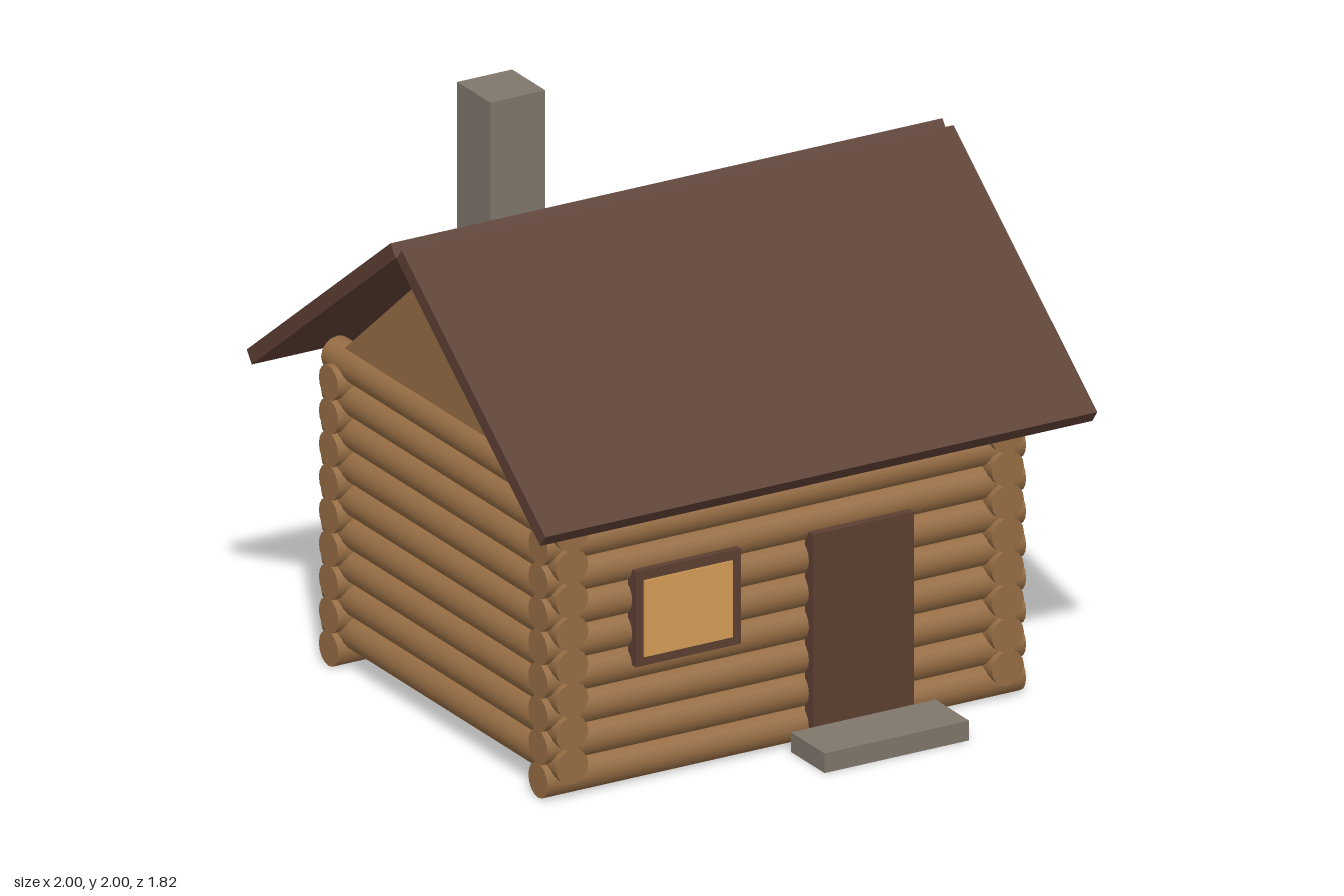
import * as THREE from 'three';

export function createModel() {
  const cabin = new THREE.Group();
  cabin.name = 'logCabin';

  const mat = (name, color) => {
    const m = new THREE.MeshStandardMaterial({ color });
    m.name = name;
    return m;
  };
  const logWood = mat('logWood', 0x966d44);
  const darkWood = mat('darkWood', 0x5c3f32);
  const stone = mat('stone', 0x7f766b);
  const glow = mat('windowGlow', 0xd49c55);

  const add = (name, geometry, material, parent = cabin) => {
    const mesh = new THREE.Mesh(geometry, material);
    mesh.name = name;
    parent.add(mesh);
    return mesh;
  };
  // Box given by its minimum and maximum corners
  const box = (name, material, [x0, y0, z0], [x1, y1, z1]) => {
    const mesh = add(name, new THREE.BoxGeometry(x1 - x0, y1 - y0, z1 - z0), material);
    mesh.position.set((x0 + x1) / 2, (y0 + y1) / 2, (z0 + z1) / 2);
    return mesh;
  };

  const Z0 = -0.005; // centre line of the walls
  const R = 0.058, PITCH = 0.1115, COURSES = 9;
  const wallX = 0.789, wallZ = 0.632;

  // Log walls: the side courses sit half a log above the front and back ones
  const walls = new THREE.Group();
  walls.name = 'logWalls';
  cabin.add(walls);
  const longLog = new THREE.CylinderGeometry(R, R, 1.734, 16).rotateZ(Math.PI / 2);
  const sideLog = new THREE.CylinderGeometry(R, R, 1.42, 16).rotateX(Math.PI / 2);
  for (let i = 0; i < COURSES; i++) {
    const y = R + i * PITCH;
    for (const s of [1, -1]) {
      add(s > 0 ? 'frontLog' : 'backLog', longLog, logWood, walls)
        .position.set(0, y, Z0 + s * wallZ);
      add(s > 0 ? 'leftLog' : 'rightLog', sideLog, logWood, walls)
        .position.set(s * wallX, y + PITCH / 2, Z0);
    }
  }

  // Triangular gables standing on the side walls
  const triangle = new THREE.Shape([
    new THREE.Vector2(-0.632, 1.05),
    new THREE.Vector2(0.632, 1.05),
    new THREE.Vector2(0, 1.58),
  ]);
  const gable = new THREE.ExtrudeGeometry(triangle, { depth: 0.05, bevelEnabled: false })
    .translate(0, 0, -0.025)
    .rotateY(Math.PI / 2);
  for (const s of [1, -1]) {
    add(s > 0 ? 'leftGable' : 'rightGable', gable, logWood).position.set(s * wallX, 0, Z0);
  }

  // Two roof slabs leaning together at the ridge
  const slab = new THREE.BoxGeometry(2, 0.05, 1.09);
  for (const s of [1, -1]) {
    const roof = add(s > 0 ? 'frontRoof' : 'backRoof', slab, darkWood);
    roof.position.set(0, 1.304, -0.008 + s * 0.452);
    roof.rotation.x = s * 0.65;
  }

  box('chimney', stone, [-0.576, 1.475, -0.345], [-0.377, 2, -0.145]);

  // Front door, step and framed window
  box('door', darkWood, [0.08, 0, 0.66], [0.445, 0.712, 0.71]);
  box('doorStep', stone, [0, 0, 0.71], [0.524, 0.066, 0.913]);
  box('windowFrame', darkWood, [-0.56, 0.4, 0.66], [-0.18, 0.72, 0.707]);
  box('windowPane', glow, [-0.532, 0.43, 0.704], [-0.212, 0.687, 0.712]);

  // Two windows on the left wall
  for (const z of [0.207, -0.268]) {
    box('sideWindow', glow, [0.845, 0.458, z - 0.143], [0.895, 0.692, z + 0.143]);
  }

  return cabin;
}
